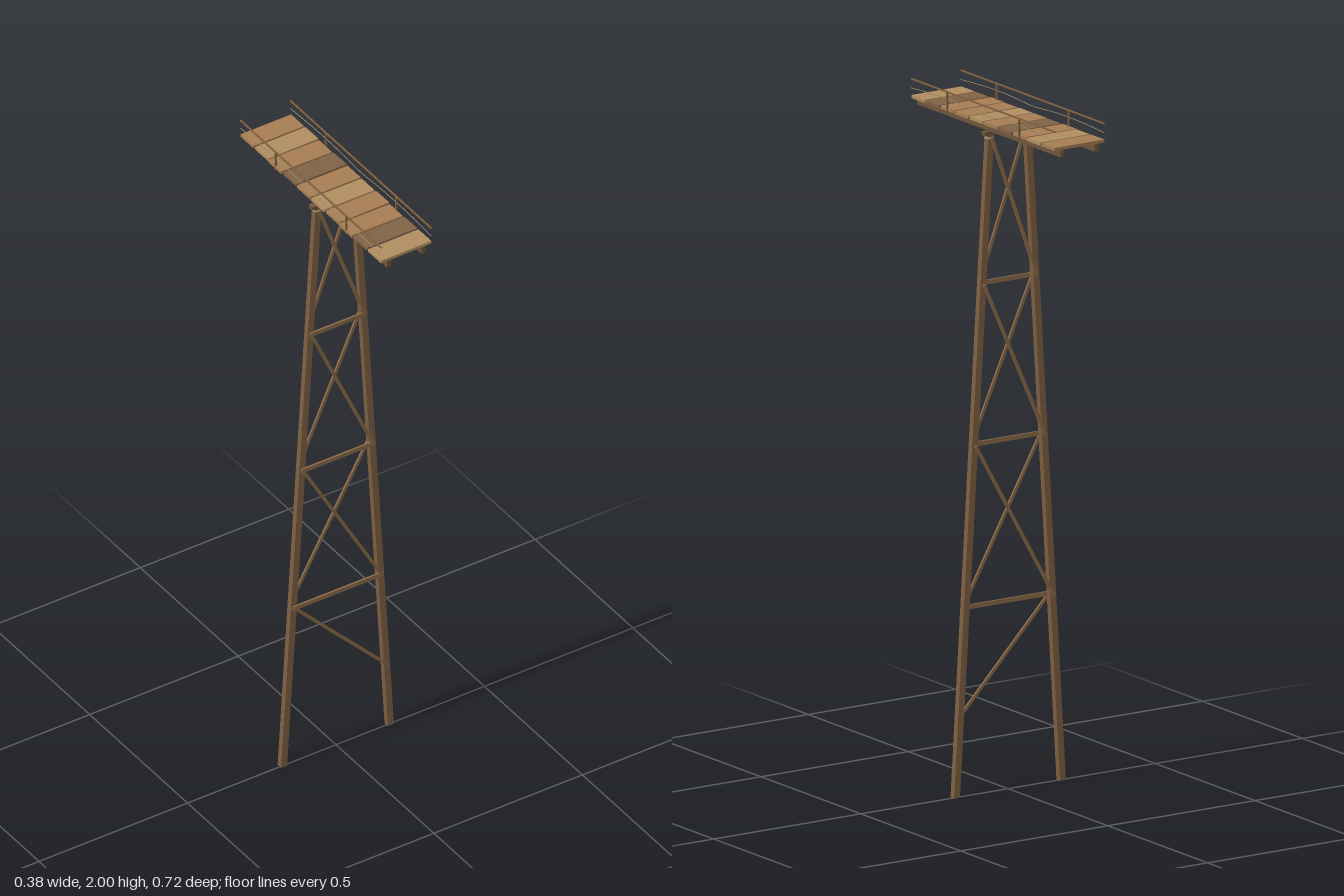
import * as THREE from 'three';

const mat = (color) => new THREE.MeshStandardMaterial({ color, flatShading: true });
const WOOD = mat(0x7d5f42), BRACE = mat(0x8a6a48), BEAM = mat(0x6f553a), RAIL = mat(0x80603f), ROPE = mat(0x9a8a6a);
const PLANKS = { M: mat(0xa67d55), L: mat(0xb08d60), D: mat(0x806244) };

export function createModel() {
  const model = new THREE.Group();

  const add = (name, geometry, material, x = 0, y = 0, z = 0) => {
    const mesh = new THREE.Mesh(geometry, material);
    mesh.name = name;
    mesh.position.set(x, y, z);
    model.add(mesh);
    return mesh;
  };
  const box = (name, w, h, d, material, x, y, z) =>
    add(name, new THREE.BoxGeometry(w, h, d), material, x, y, z);

  // Timber between two points of the trestle plane, at depth z
  const timber = (name, x1, y1, x2, y2, z, width, depth, material) => {
    const length = Math.hypot(x2 - x1, y2 - y1);
    const mesh = box(name, width, length, depth, material, (x1 + x2) / 2, (y1 + y2) / 2, z);
    mesh.rotation.z = -Math.atan2(x2 - x1, y2 - y1);
    return mesh;
  };

  // Centre line of the leaning legs
  const legX = (y) => 0.18 - (y / 1.912) * 0.116;

  for (const s of [-1, 1]) {
    timber('leg', s * legX(0), 0.001, s * legX(1.912), 1.912, -0.001, 0.02, 0.018, WOOD);
    // Rope lashing around the leg top
    const lashing = add('lashing', new THREE.TorusGeometry(0.012, 0.003, 6, 10), ROPE, s * legX(1.9), 1.902, -0.001);
    lashing.rotation.x = Math.PI / 2;
  }

  // Cross ties and crossed braces, front and back of the legs
  const levels = [0.545, 1.015, 1.48, 1.905];
  levels.forEach((y, i) => {
    const x = legX(y);
    if (i < 3) {
      box('crossTie', 2 * x + 0.008, 0.013, 0.006, BRACE, 0, y, 0.01);
      const y2 = levels[i + 1], x2 = legX(y2);
      timber('backBrace', -x, y, x2, y2, -0.013, 0.009, 0.006, BRACE);
      timber('frontBrace', x, y, -x2, y2, 0.01, 0.009, 0.006, BRACE);
    }
  });
  timber('lowerBrace', -legX(0.545), 0.545, legX(0.22), 0.22, 0.01, 0.009, 0.006, BRACE);

  // Cap beam and the stringers that carry the deck
  box('capBeam', 0.17, 0.011, 0.018, BEAM, 0, 1.916, -0.001);
  for (const s of [-1, 1]) box('stringer', 0.014, 0.022, 0.718, BEAM, s * 0.058, 1.932, 0);

  // Deck planks, slightly uneven
  [...'MLMDMLMMDL'].forEach((tone, i) => {
    const wobble = Math.sin(i * 2.4);
    const plank = box('plank', 0.17, 0.009, 0.066, PLANKS[tone], wobble * 0.0015, 1.947, -0.325 + i * 0.0722);
    plank.rotation.y = wobble * 0.012;
  });

  // Railings: posts, top rail and a sagging rope
  for (const s of [-1, 1]) {
    const x = s * 0.084;
    for (const z of [-0.18, 0.18]) box('railPost', 0.005, 0.06, 0.006, RAIL, x, 1.968, z);
    box('topRail', 0.004, 0.004, 0.72, RAIL, x, 1.998, 0);
    const points = [-0.36, -0.27, -0.18, -0.09, 0, 0.09, 0.18, 0.27, 0.36].map((z) =>
      new THREE.Vector3(x, 1.971 + 0.007 * Math.sin((Math.PI * Math.abs(z)) / 0.36), z));
    add('sideRope', new THREE.TubeGeometry(new THREE.CatmullRomCurve3(points), 32, 0.0012, 5), ROPE);
  }

  return model;
}
